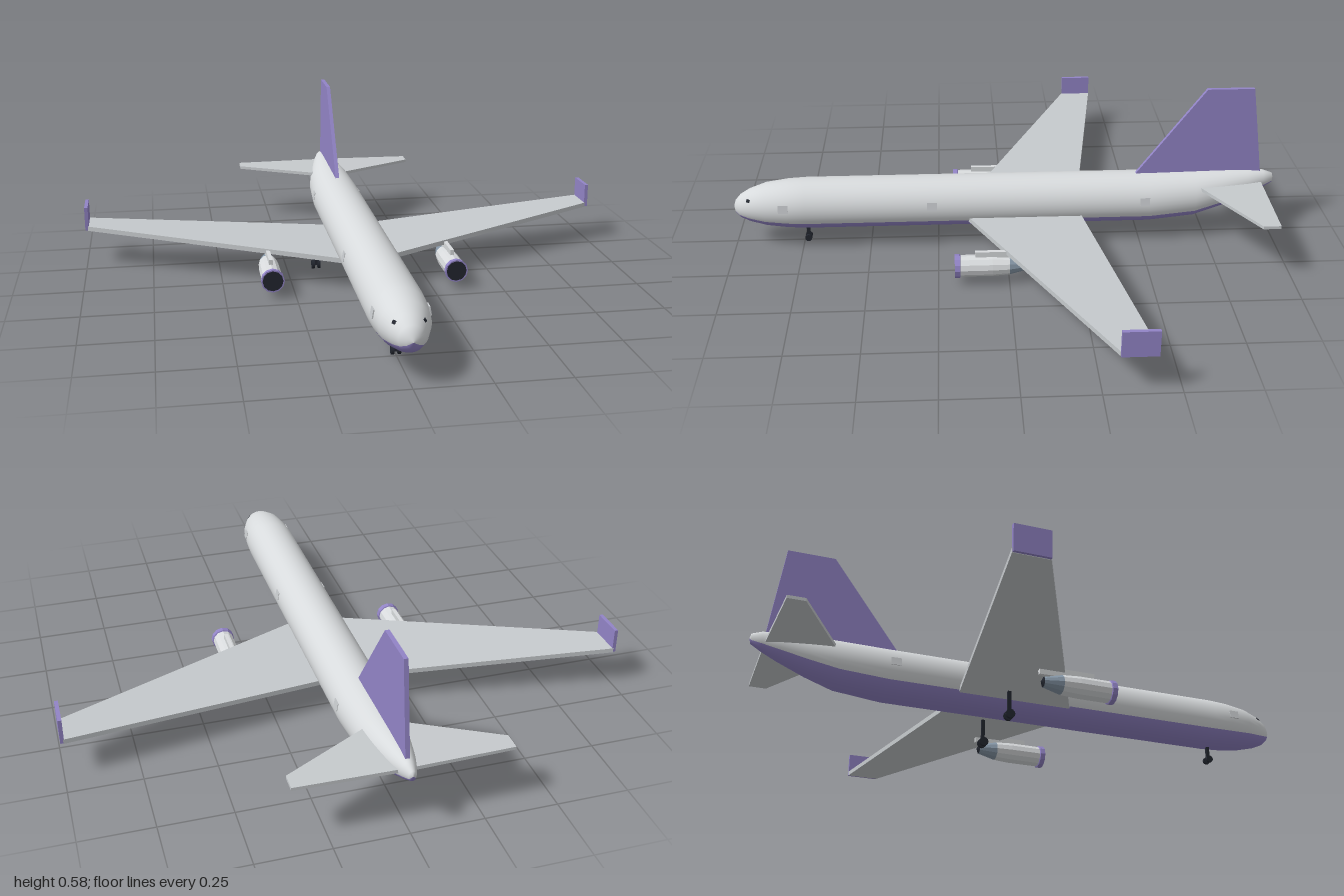
import * as THREE from 'three';

const mat = (name, color, extra = {}) => {
  const m = new THREE.MeshStandardMaterial({ color, ...extra });
  m.name = name;
  return m;
};

export function createModel() {
  const model = new THREE.Group();
  model.name = 'airliner';

  const white = mat('bodyWhite', 0xd8dbdd);
  const wingGrey = mat('wingGrey', 0xc6cacd);
  const purple = mat('liveryPurple', 0x9284c6);
  const doorGrey = mat('doorGrey', 0xc8cbce);
  const steel = mat('exhaustSteel', 0x8798a8);
  const dark = mat('darkRubber', 0x22262f);

  const add = (parent, name, geo, material, x = 0, y = 0, z = 0) => {
    const mesh = new THREE.Mesh(geo, material);
    mesh.name = name;
    mesh.position.set(x, y, z);
    parent.add(mesh);
    return mesh;
  };

  // Fuselage: elliptical sections from nose to tail [z, half width, bottom, top]
  const sections = [
    [1, 0, 0.148, 0.148], [0.993, 0.022, 0.125, 0.172], [0.975, 0.042, 0.107, 0.193],
    [0.94, 0.061, 0.092, 0.214], [0.88, 0.082, 0.077, 0.235], [0.8, 0.092, 0.067, 0.247],
    [0.73, 0.095, 0.063, 0.251], [0.3, 0.095, 0.063, 0.251], [-0.2, 0.095, 0.063, 0.251],
    [-0.53, 0.095, 0.063, 0.251], [-0.7, 0.086, 0.08, 0.254], [-0.8, 0.068, 0.112, 0.256],
    [-0.9, 0.045, 0.152, 0.255], [-0.96, 0.027, 0.18, 0.25], [-0.995, 0.013, 0.2, 0.238],
    [-1, 0, 0.22, 0.22],
  ];
  const sides = 36;
  const points = [], upper = [], belly = [];
  sections.forEach(([z, w, bottom, top], i) => {
    for (let j = 0; j < sides; j++) {
      const a = (j / sides) * Math.PI * 2;
      points.push(w * Math.cos(a), (top + bottom) / 2 + ((top - bottom) / 2) * Math.sin(a), z);
      if (i === sections.length - 1) continue;
      const k = (j + 1) % sides, p = i * sides, q = p + sides;
      const degrees = ((j + 0.5) / sides) * 360;
      const list = degrees > 208 && degrees < 332 ? belly : upper;
      if (i > 0) list.push(p + j, q + j, p + k);
      if (i < sections.length - 2) list.push(q + j, q + k, p + k);
      else list.push(p + j, q + j, p + k);
    }
  });
  const hull = new THREE.BufferGeometry();
  hull.setAttribute('position', new THREE.Float32BufferAttribute(points, 3));
  hull.setIndex([...upper, ...belly]);
  hull.addGroup(0, upper.length, 0);
  hull.addGroup(upper.length, belly.length, 1);
  // Close the nose tip, where the first ring collapses to a point
  const normalsReady = hull.toNonIndexed();
  normalsReady.dispose();
  const noseFan = [];
  for (let j = 0; j < sides; j++) noseFan.push(j, sides + j, sides + ((j + 1) % sides));
  const noseBelly = [], noseUpper = [];
  for (let j = 0; j < sides; j++) {
    const degrees = ((j + 0.5) / sides) * 360;
    (degrees > 208 && degrees < 332 ? noseBelly : noseUpper).push(...noseFan.slice(j * 3, j * 3 + 3));
  }
  const allUpper = [...upper, ...noseUpper], allBelly = [...belly, ...noseBelly];
  hull.clearGroups();
  hull.setIndex([...allUpper, ...allBelly]);
  hull.addGroup(0, allUpper.length, 0);
  hull.addGroup(allUpper.length, allBelly.length, 1);
  hull.computeVertexNormals();
  add(model, 'fuselage', hull, [white, purple]);

  // Tapered slab between two stations {x, y, front, back, t}, mirrored by side
  const slab = (side, root, tip) => {
    const geo = new THREE.BoxGeometry(1, 1, 1);
    const p = geo.attributes.position;
    for (let i = 0; i < p.count; i++) {
      const e = side * p.getX(i) > 0 ? tip : root;
      p.setXYZ(i, side * e.x, e.y + p.getY(i) * e.t, p.getZ(i) > 0 ? e.front : e.back);
    }
    geo.computeVertexNormals();
    return geo;
  };

  // Tail fin
  const finShape = new THREE.Shape([[0.48, 0.245], [0.95, 0.235], [0.9, 0.58], [0.73, 0.58]]
    .map(([x, y]) => new THREE.Vector2(x, y)));
  const fin = new THREE.ExtrudeGeometry(finShape, { depth: 0.015, bevelEnabled: false });
  fin.translate(0, 0, -0.0075).rotateY(Math.PI / 2);
  add(model, 'tailFin', fin, purple);

  // Lathe profile of [radius, z] laid along the z axis
  const spin = (profile, segments) => {
    const geo = new THREE.LatheGeometry(profile.map(([r, z]) => new THREE.Vector2(r, z)), segments);
    geo.rotateX(Math.PI / 2);
    const flat = geo.toNonIndexed();
    flat.computeVertexNormals();
    return flat;
  };

  const wheelPair = (parent, radius, x, z, top) => {
    add(parent, 'strut', new THREE.BoxGeometry(0.01, top - radius, 0.012), dark, x, (top + radius) / 2, z);
    add(parent, 'axle', new THREE.BoxGeometry(0.024, 0.008, 0.008), dark, x, radius, z);
    for (const s of [-1, 1]) {
      const wheel = new THREE.CylinderGeometry(radius, radius, 0.01, 12).rotateZ(Math.PI / 2);
      add(parent, 'wheel', wheel, dark, x + s * 0.011, radius, z);
    }
  };

  for (const side of [1, -1]) {
    const half = new THREE.Group();
    half.name = side > 0 ? 'leftSide' : 'rightSide';
    model.add(half);

    // Wing, winglet and tailplane
    add(half, 'wing', slab(side,
      { x: 0, y: 0.109, front: 0.175, back: -0.265, t: 0.018 },
      { x: 0.99, y: 0.144, front: -0.3, back: -0.42, t: 0.017 }), wingGrey);
    add(half, 'winglet', new THREE.BoxGeometry(0.013, 0.09, 0.118), purple, side * 0.9935, 0.182, -0.36);
    add(half, 'tailplane', slab(side,
      { x: 0, y: 0.209, front: -0.68, back: -0.95, t: 0.013 },
      { x: 0.365, y: 0.209, front: -0.88, back: -0.942, t: 0.011 }), wingGrey);

    // Engine
    const engine = new THREE.Group();
    engine.name = 'engine';
    engine.position.set(side * 0.333, 0.068, 0);
    half.add(engine);
    add(engine, 'nacelle', spin([[0.034, 0], [0.038, 0.06], [0.038, 0.178]], 12), white);
    add(engine, 'intakeLip', spin([[0.038, 0.172], [0.042, 0.174], [0.042, 0.192], [0.037, 0.192]], 12), purple);
    add(engine, 'fan', new THREE.CircleGeometry(0.039, 12), dark, 0, 0, 0.1915);
    add(engine, 'exhaust', spin([[0.018, -0.065], [0.034, 0]], 12), steel);
    add(engine, 'nozzle', spin([[0, -0.074], [0.018, -0.065]], 12), dark);
    add(engine, 'pylon', new THREE.BoxGeometry(0.014, 0.03, 0.2), white, 0, 0.041, 0.02);

    // Main landing gear
    const gear = new THREE.Group();
    gear.name = 'mainGear';
    half.add(gear);
    wheelPair(gear, 0.017, side * 0.14, -0.115, 0.11);

    // Cabin doors
    for (const [z, x] of [[0.81, 0.0895], [0.27, 0.0925], [-0.51, 0.0925]]) {
      const door = add(half, 'door', new THREE.BoxGeometry(0.004, 0.03, 0.036), doorGrey, side * x, 0.175, z);
      door.rotation.z = side * 0.18;
    }

    // Cockpit window
    const pane = add(half, 'cockpitWindow', new THREE.BoxGeometry(0.014, 0.012, 0.008), dark,
      side * 0.045, 0.19, 0.938);
    pane.lookAt(side * 0.145, 0.27, 1.0);
  }

  // Nose landing gear
  const noseGear = new THREE.Group();
  noseGear.name = 'noseGear';
  model.add(noseGear);
  wheelPair(noseGear, 0.013, 0, 0.735, 0.075);

  return model;
}
